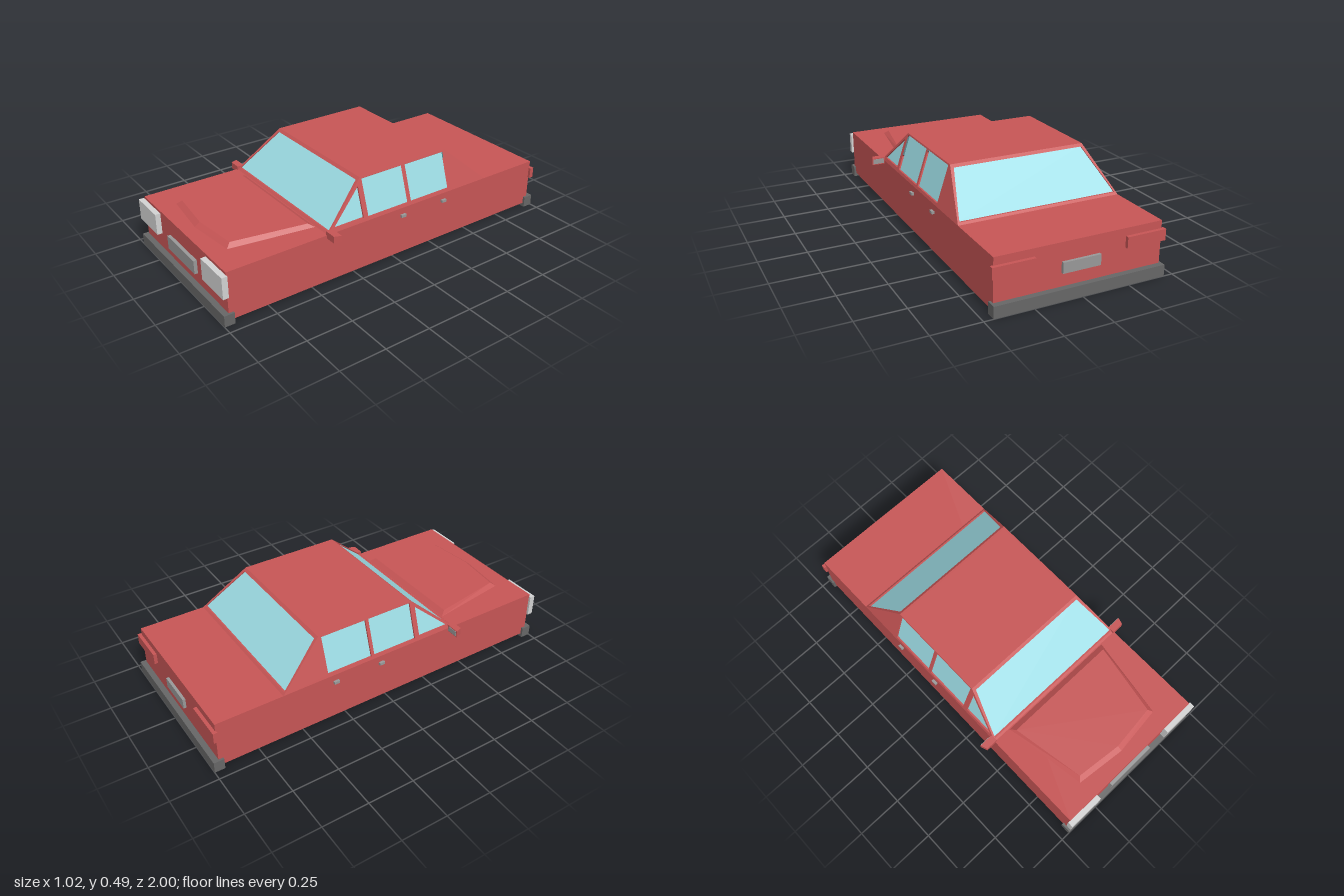
import * as THREE from 'three';

const mat = (name, color, side = THREE.FrontSide) => {
  const m = new THREE.MeshStandardMaterial({ color, side });
  m.name = name;
  return m;
};

export function createModel() {
  const car = new THREE.Group();
  car.name = 'car';
  const paint = mat('red paint', 0xc65555);
  const glass = mat('window glass', 0x9cdbe3, THREE.DoubleSide);
  const lamp = mat('headlight grey', 0xd2d2d2);
  const rubber = mat('bumper grey', 0x666666);
  const trim = mat('trim grey', 0x989898);
  const black = mat('underbody black', 0x191919);

  const add = (name, geometry, material) => {
    const mesh = new THREE.Mesh(geometry, material);
    mesh.name = name;
    car.add(mesh);
    return mesh;
  };
  // Box given by its lower and upper limits on each axis
  const box = (name, x0, x1, y0, y1, z0, z1, material) => {
    const g = new THREE.BoxGeometry(x1 - x0, y1 - y0, z1 - z0);
    g.translate((x0 + x1) / 2, (y0 + y1) / 2, (z0 + z1) / 2);
    return add(name, g, material);
  };

  // Lower body with black underside
  box('body', -0.44, 0.44, 0.02, 0.28, -0.97, 0.97, [paint, paint, paint, black, paint, paint]);

  // Cabin panels: flat shapes leaned inwards by a rule, with recessed glass
  const BASE = 0.28, TOP = 0.49, THICK = 0.01;
  const toShape = (pts) => new THREE.Shape(pts.map(([u, y]) => new THREE.Vector2(u, y)));
  const bend = (g, place) => {
    const p = g.attributes.position;
    for (let i = 0; i < p.count; i++) {
      const y = p.getY(i);
      const [x, z] = place(p.getX(i), (y - BASE) / (TOP - BASE), p.getZ(i));
      p.setXYZ(i, x, y, z);
    }
    g.computeVertexNormals();
    return g;
  };
  const panel = (name, outline, windows, place) => {
    const shape = toShape(outline);
    shape.holes = windows.map(toShape);
    const frame = new THREE.ExtrudeGeometry(shape, { depth: THICK, bevelEnabled: false });
    frame.translate(0, 0, -THICK);
    add(name + 'Frame', bend(frame, place), paint);
    windows.forEach((w) => {
      const pane = new THREE.ShapeGeometry(toShape(w));
      pane.translate(0, 0, -THICK * 0.9);
      add(name + 'Glass', bend(pane, place), glass);
    });
  };
  const endOutline = [[-0.44, BASE], [0.44, BASE], [0.37, TOP], [-0.37, TOP]];
  const endWindow = [[-0.428, 0.29], [0.428, 0.29], [0.357, 0.477], [-0.357, 0.477]];
  panel('windshield', endOutline, [endWindow], (u, t, w) => [u, 0.42 - 0.24 * t + w]);
  panel('rearWindow', endOutline, [endWindow], (u, t, w) => [-u, -(0.61 - 0.24 * t + w)]);

  const sideOutline = [[0.42, BASE], [0.18, TOP], [-0.37, TOP], [-0.61, BASE]];
  const sideWindows = [
    [[0.38, 0.3], [0.2, 0.3], [0.2, 0.453]],
    [[0.172, 0.295], [0.172, 0.483], [-0.082, 0.483], [-0.082, 0.295]],
    [[-0.1, 0.295], [-0.1, 0.483], [-0.355, 0.483], [-0.355, 0.295]],
  ];
  for (const s of [1, -1]) {
    const flip = (pts) => pts.map(([z, y]) => [-s * z, y]);
    panel(s > 0 ? 'leftSide' : 'rightSide', flip(sideOutline), sideWindows.map(flip),
      (u, t, w) => [s * (0.44 - 0.07 * t + w), -s * u]);
  }
  box('roof', -0.37, 0.37, TOP - 0.01, TOP, -0.37, 0.18, paint);

  // Raised hood: a low loft between an outer and an inner outline
  const outer = [[-0.34, 0.425], [-0.27, 0.87], [0, 0.9], [0.27, 0.87], [0.34, 0.425]];
  const inner = [[-0.32, 0.455], [-0.25, 0.845], [0, 0.872], [0.25, 0.845], [0.32, 0.455]];
  const verts = [];
  const put = ([x, z], y) => verts.push(x, y, z);
  for (let i = 0; i < 5; i++) {
    const j = (i + 1) % 5;
    put(outer[i], 0.28); put(outer[j], 0.28); put(inner[j], 0.3);
    put(outer[i], 0.28); put(inner[j], 0.3); put(inner[i], 0.3);
    if (i > 0 && i < 4) { put(inner[0], 0.3); put(inner[i], 0.3); put(inner[j], 0.3); }
  }
  const hood = new THREE.BufferGeometry();
  hood.setAttribute('position', new THREE.Float32BufferAttribute(verts, 3));
  hood.computeVertexNormals();
  add('hoodBulge', hood, paint);

  // Bumpers and number plates
  box('frontBumper', -0.452, 0.452, 0, 0.06, 0.945, 1, rubber);
  box('rearBumper', -0.452, 0.452, 0, 0.06, -1, -0.945, rubber);
  box('frontPlate', -0.144, 0.144, 0.118, 0.192, 0.96, 0.988, trim);
  box('rearPlate', -0.1, 0.1, 0.13, 0.185, -0.985, -0.96, trim);

  // Paired parts
  for (const s of [1, -1]) {
    const pair = (name, x0, x1, ...rest) =>
      box(name, Math.min(s * x0, s * x1), Math.max(s * x0, s * x1), ...rest);
    pair('headlight', 0.248, 0.452, 0.15, 0.266, 0.968, 0.998, lamp);
    pair('taillight', 0.24, 0.454, 0.182, 0.24, -0.988, -0.965, paint);
    for (const z of [-0.043, -0.315]) {
      pair('doorHandle', 0.435, 0.454, 0.231, 0.245, z - 0.015, z + 0.015, trim);
    }
    // Wing mirror, wider towards the back
    const mirror = pair('wingMirror', 0.43, 0.51, 0.263, 0.3, 0.387, 0.424, paint);
    const p = mirror.geometry.attributes.position;
    for (let i = 0; i < p.count; i++) {
      if (s * p.getX(i) > 0.5 && p.getZ(i) > 0.4) p.setX(i, s * 0.497);
    }
    mirror.geometry.computeVertexNormals();
    pair('mirrorGlass', 0.445, 0.505, 0.268, 0.295, 0.384, 0.388, trim);
  }
  return car;
}
